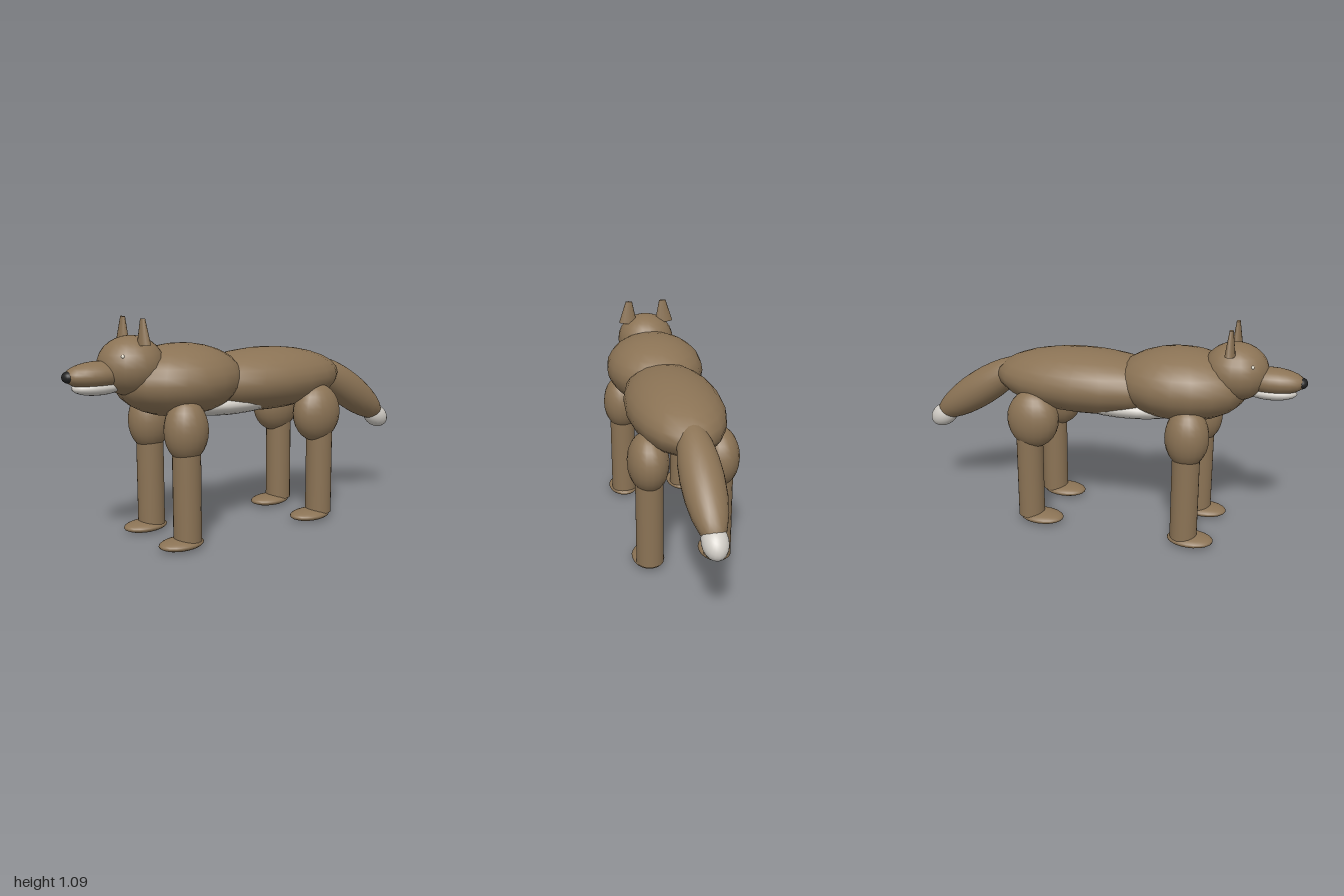
import * as THREE from 'three';

const material = (name, color) => {
  const m = new THREE.MeshStandardMaterial({ color });
  m.name = name;
  return m;
};

export function createModel() {
  const fur = material('brown fur', 0x8b7355);
  const pale = material('pale fur', 0xd0ccc5);
  const black = material('nose black', 0x222222);
  const eyeWhite = material('eye', 0xe6e0d0);

  const model = new THREE.Group();
  model.name = 'fourLeggedAnimal';

  const add = (name, geometry, mat, position) => {
    const mesh = new THREE.Mesh(geometry, mat);
    mesh.name = name;
    mesh.position.set(...position);
    model.add(mesh);
    return mesh;
  };
  const ball = new THREE.SphereGeometry(1, 20, 14);
  const ellipsoid = (name, mat, position, radii) => {
    const mesh = add(name, ball, mat, position);
    mesh.scale.set(...radii);
    return mesh;
  };

  // Trunk
  ellipsoid('body', fur, [0, 0.75, -0.1], [0.24, 0.16, 0.48]);
  ellipsoid('chest', fur, [0, 0.785, 0.4], [0.257, 0.175, 0.33]);
  ellipsoid('belly', pale, [0, 0.655, 0.12], [0.17, 0.067, 0.32]);

  // Head
  ellipsoid('head', fur, [0, 0.87, 0.66], [0.155, 0.14, 0.16]);
  ellipsoid('snout', fur, [0, 0.84, 0.83], [0.085, 0.063, 0.16]);
  ellipsoid('jaw', pale, [0, 0.785, 0.83], [0.07, 0.037, 0.125]);
  ellipsoid('nose', black, [0, 0.84, 0.97], [0.035, 0.027, 0.03]);

  // Tail, sloping down and back
  const slope = -0.595;
  ellipsoid('tail', fur, [0, 0.64, -0.69], [0.1, 0.095, 0.315]).rotation.x = slope;
  ellipsoid('tailTip', pale, [0, 0.463, -0.923], [0.06, 0.06, 0.085]).rotation.x = slope;

  const earShape = new THREE.CylinderGeometry(0.018, 0.05, 0.12, 12);
  const shankShape = new THREE.CylinderGeometry(0.068, 0.068, 0.47, 20);

  for (const [side, s] of [['left', 1], ['right', -1]]) {
    // Ears and eyes
    const ear = add(side + 'Ear', earShape, fur, [s * 0.098, 1.03, 0.645]);
    ear.scale.z = 0.5;
    ear.rotation.z = s * 0.06;
    ellipsoid(side + 'Eye', eyeWhite, [s * 0.105, 0.927, 0.754], [0.008, 0.008, 0.008]);

    // Legs: thigh, shank and paw
    const x = s * 0.172;
    for (const [end, thighZ, thighR, shankZ, pawZ] of [
      ['Front', 0.472, 0.108, 0.472, 0.507],
      ['Rear', -0.323, 0.135, -0.345, -0.287],
    ]) {
      ellipsoid(side + end + 'Thigh', fur, [x, 0.57, thighZ], [0.101, 0.15, thighR]);
      add(side + end + 'Shank', shankShape, fur, [x, 0.27, shankZ]);
      ellipsoid(side + end + 'Paw', fur, [x, 0.028, pawZ], [0.081, 0.028, 0.116]);
    }
  }
  return model;
}
